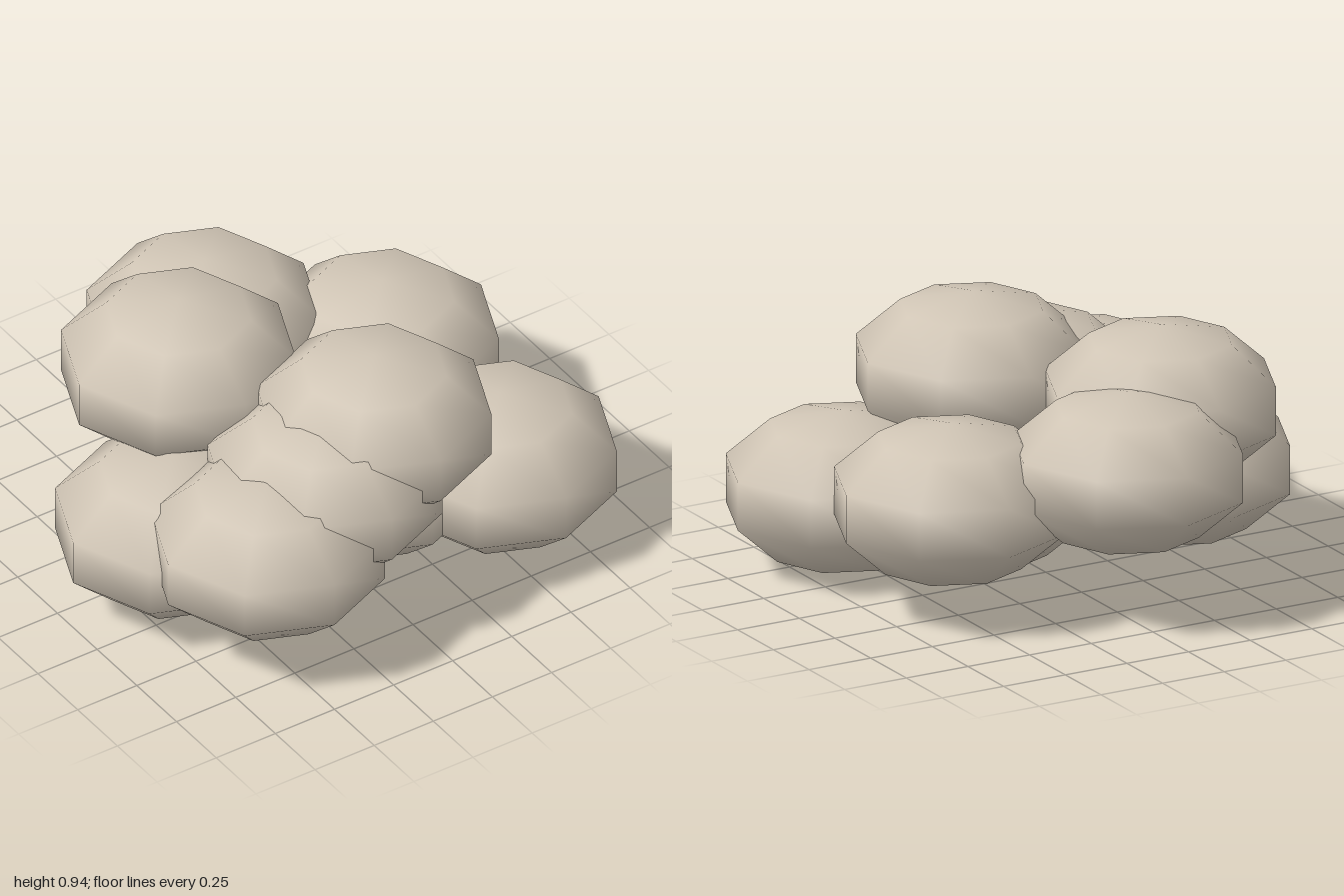
import * as THREE from 'three';

// Centres of the overlapping puffs: name, x, y, z
const PUFFS = [
  ['lowLeftFrontPuff', 0.58, 0.29, 0.43],
  ['lowRightPuff', -0.58, 0.29, 0.1],
  ['lowMiddlePuff', 0.17, 0.29, 0.2],
  ['rightFrontPuff', -0.46, 0.41, 0.52],
  ['middleFrontPuff', -0.17, 0.53, 0.45],
  ['topRightPuff', -0.32, 0.655, -0.25],
  ['topFrontPuff', 0.07, 0.655, 0.4],
  ['backPuff', -0.03, 0.535, -0.52],
  ['leftBackPuff', 0.505, 0.415, -0.2],
];

export function createModel() {
  const group = new THREE.Group();
  group.name = 'puffCluster';

  const material = new THREE.MeshStandardMaterial({ color: 0xd0c5b5 });
  material.name = 'warmBeige';

  // One coarse, smooth-shaded sphere, flattened vertically, shared by every puff
  const geometry = new THREE.SphereGeometry(0.442, 8, 5);
  geometry.scale(1, 0.65, 1);

  for (const [name, x, y, z] of PUFFS) {
    const puff = new THREE.Mesh(geometry, material);
    puff.name = name;
    puff.position.set(x, y, z);
    group.add(puff);
  }
  return group;
}
